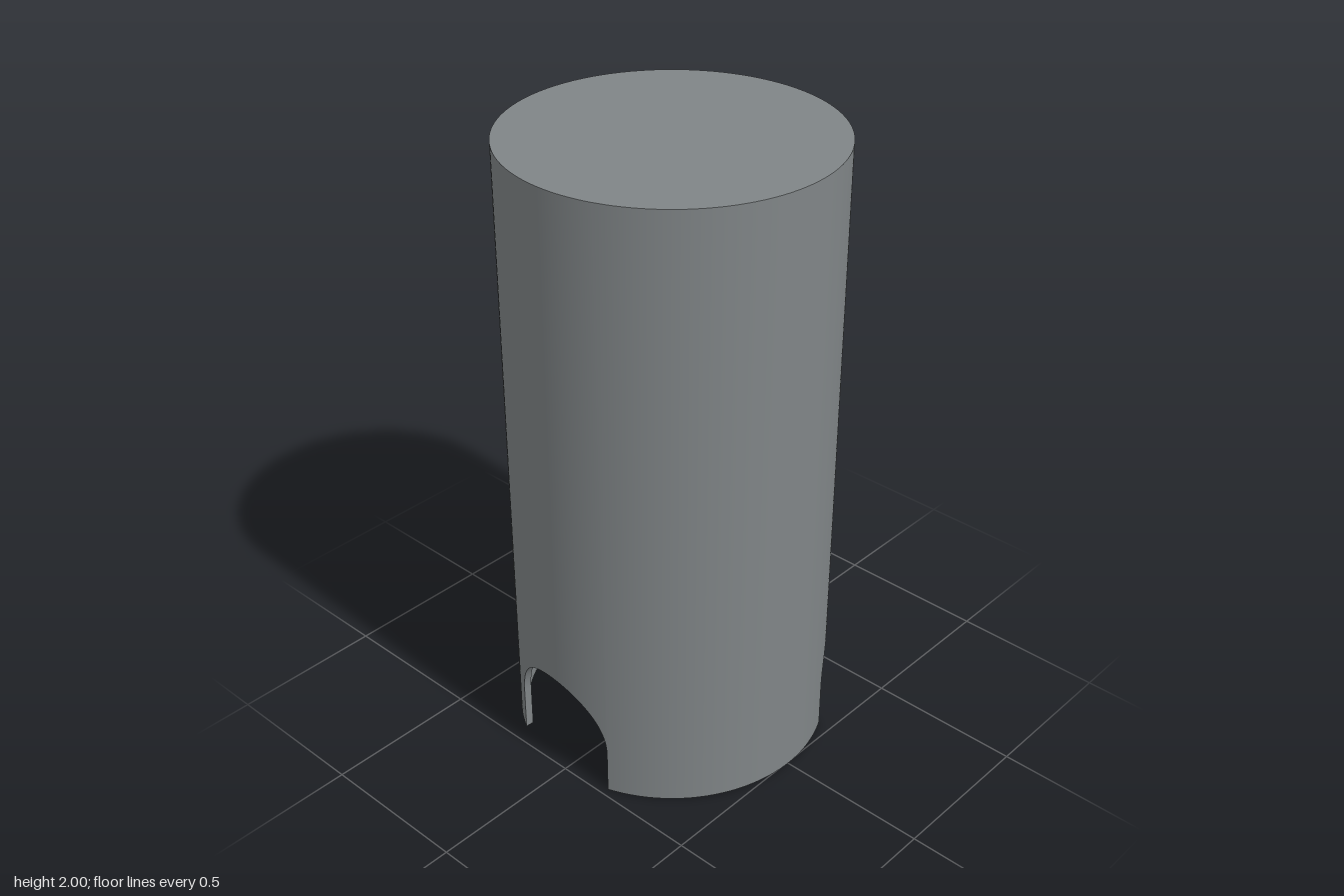
import * as THREE from 'three';
import { toCreasedNormals } from 'three/addons/utils/BufferGeometryUtils.js';

const R = 0.504, WALL = 0.025, RI = R - WALL, HEIGHT = 2;
const HALF = 0.203, SPRING = 0.147;        // arch half width and height of its straight sides
const NOTCHES = [-175.5, -46.5, 40].map(THREE.MathUtils.degToRad);
const ARCH_STEPS = 32, ARC_STEPS = 32;

// Columns around the wall: outer angle, inner angle and height of the lower edge
function wallColumns() {
  const cols = [];
  const dOut = Math.asin(HALF / R), dIn = Math.asin(HALF / RI);
  NOTCHES.forEach((c, n) => {
    for (let i = 0; i <= ARCH_STEPS; i++) {           // round-topped cutout
      const t = Math.PI * (1 - i / ARCH_STEPS), u = HALF * Math.cos(t);
      cols.push({ out: c + Math.asin(u / R), in: c + Math.asin(u / RI), low: SPRING + HALF * Math.sin(t) });
    }
    const next = n + 1 < NOTCHES.length ? NOTCHES[n + 1] : NOTCHES[0] + Math.PI * 2;
    for (let i = 0; i <= ARC_STEPS; i++) {            // foot between two cutouts
      const t = i / ARC_STEPS;
      cols.push({
        out: THREE.MathUtils.lerp(c + dOut, next - dOut, t),
        in: THREE.MathUtils.lerp(c + dIn, next - dIn, t),
        low: 0,
      });
    }
  });
  return cols;
}

// Closed band of quads between two edges, each given as a function of a column
function band(cols, edgeA, edgeB) {
  const pos = [];
  cols.forEach((col, i) => {
    const next = cols[(i + 1) % cols.length];
    const a0 = edgeA(col), a1 = edgeA(next), b0 = edgeB(col), b1 = edgeB(next);
    pos.push(...a0, ...b0, ...a1, ...a1, ...b0, ...b1);
  });
  const g = new THREE.BufferGeometry();
  g.setAttribute('position', new THREE.Float32BufferAttribute(pos, 3));
  return toCreasedNormals(g, 0.6);
}

export function createModel() {
  const group = new THREE.Group();
  group.name = 'notchedTube';
  const grey = new THREE.MeshStandardMaterial({ color: 0x808587 });
  grey.name = 'grey';

  const cols = wallColumns();
  const at = (r, a, y) => [r * Math.cos(a), y, r * Math.sin(a)];
  const outerLow = c => at(R, c.out, c.low);
  const outerTop = c => at(R, c.out, HEIGHT);
  const innerLow = c => at(RI, c.in, c.low);
  const innerTop = c => at(RI, c.in, HEIGHT - WALL);
  const topCentre = () => [0, HEIGHT, 0];
  const ceilingCentre = () => [0, HEIGHT - WALL, 0];

  const add = (name, a, b) => {
    const mesh = new THREE.Mesh(band(cols, a, b), grey);
    mesh.name = name;
    group.add(mesh);
  };
  add('outerWall', outerLow, outerTop);
  add('innerWall', innerTop, innerLow);
  add('lowerRim', innerLow, outerLow);      // feet undersides and cutout edges
  add('lid', outerTop, topCentre);
  add('ceiling', ceilingCentre, innerTop);
  return group;
}
